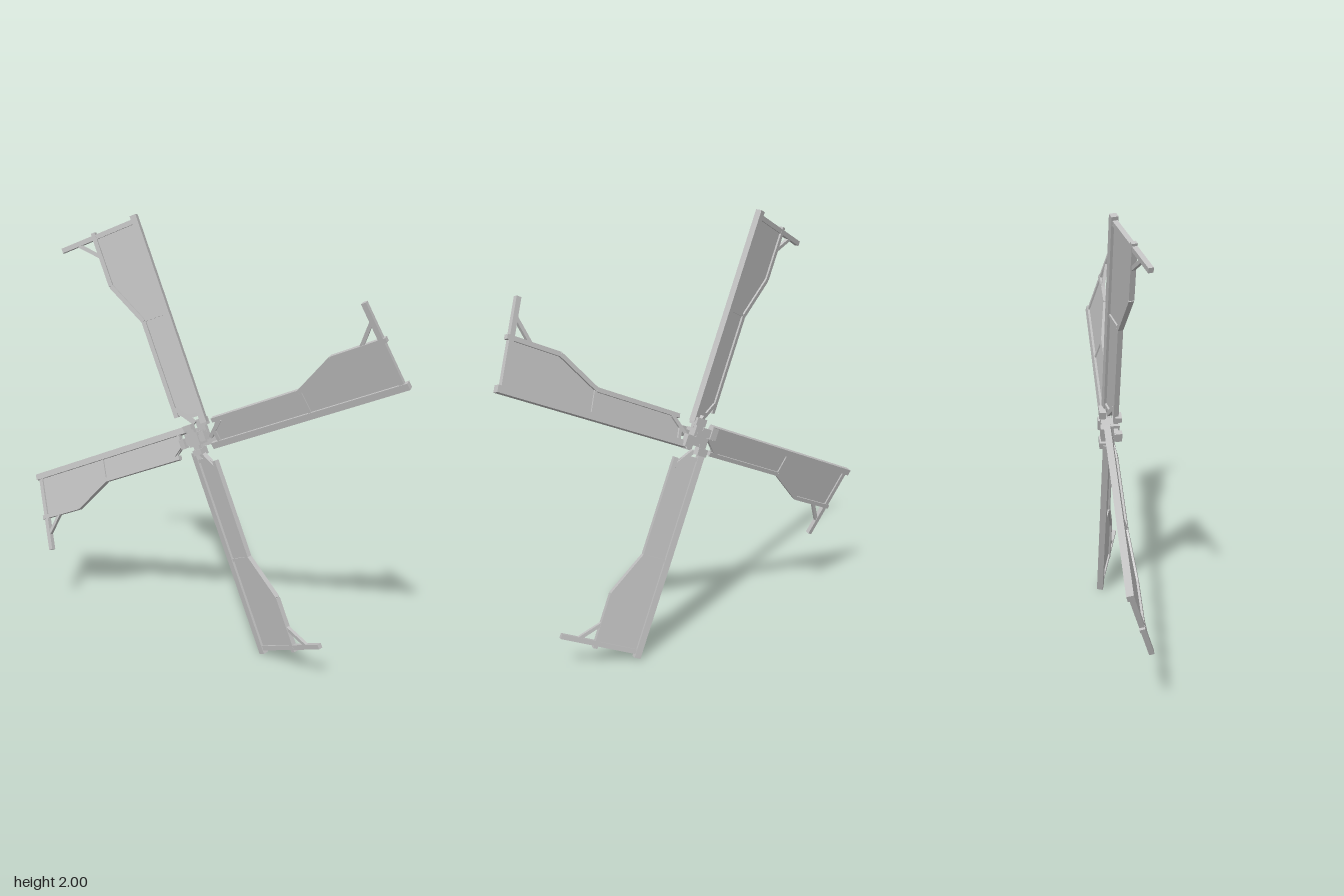
import * as THREE from 'three';

const grey = new THREE.MeshStandardMaterial({ color: 0xc0c0c0 });
grey.name = 'pale grey';

const PITCH = 0.275; // tilt of each sail about its own length
const SPREAD = 1 / Math.cos(PITCH);

function box(name, w, h, d, x, y, z, turn = 0) {
  const mesh = new THREE.Mesh(new THREE.BoxGeometry(w, h, d), grey);
  mesh.name = name;
  mesh.position.set(x, y, z);
  mesh.rotation.z = turn;
  return mesh;
}

// Straight beam between two points of the sail plane
function beam(name, a, b, width, depth, z = 0) {
  const dx = b[0] - a[0], dy = (b[1] - a[1]) * SPREAD;
  return box(name, Math.hypot(dx, dy), width, depth,
    (a[0] + b[0]) / 2, (a[1] + b[1]) / 2 * SPREAD, z, Math.atan2(dy, dx));
}

// Thin flat plate cut to an outline of the sail plane
function plate(name, points, thick) {
  const shape = new THREE.Shape(points.map(([x, y]) => new THREE.Vector2(x, y * SPREAD)));
  const geo = new THREE.ExtrudeGeometry(shape, { depth: thick, bevelEnabled: false });
  geo.translate(0, 0, -thick / 2);
  const mesh = new THREE.Mesh(geo, grey);
  mesh.name = name;
  return mesh;
}

// One sail, pointing along +x, with its wide side towards +y
function createSail() {
  const sail = new THREE.Group();
  sail.name = 'sail';
  const edge = [[0.12, 0.062], [0.588, 0.062], [0.793, 0.154], [1.05, 0.154]];

  // Covering panel
  sail.add(plate('panel', [[0.1, -0.05], [1.03, -0.05], [1.03, 0.154],
    edge[2], edge[1], [0.14, 0.062], [0.1, 0.02]], 0.006));

  // Frame
  sail.add(beam('mainSpar', [0.06, -0.051], [1.055, -0.051], 0.03, 0.03));
  for (let i = 0; i < 3; i++) {
    sail.add(beam('edgeRail', edge[i], edge[i + 1], 0.02, 0.024));
  }
  sail.add(beam('crossBar', [0.592, -0.05], [0.592, 0.06], 0.014, 0.02));
  sail.add(beam('endBar', [1.028, -0.06], [1.028, 0.32], 0.022, 0.022));
  sail.add(beam('tipStrut', [0.935, 0.156], [1.024, 0.24], 0.016, 0.016));

  // Bracing at the root
  sail.add(beam('rootBrace', [0.07, -0.01], [0.16, 0.055], 0.018, 0.024));
  sail.add(beam('rootBar', [0.105, -0.05], [0.105, 0.02], 0.016, 0.024));

  sail.rotation.x = PITCH;
  sail.position.z = -0.022;
  return sail;
}

// Hub of crossed bars with clamps on its arms
function createHub() {
  const hub = new THREE.Group();
  hub.name = 'hub';
  hub.add(box('hubCore', 0.06, 0.06, 0.085, 0, 0, -0.02));
  for (let i = 0; i < 4; i++) {
    const arm = new THREE.Group();
    arm.name = 'hubArm';
    arm.rotation.z = i * Math.PI / 2;
    arm.add(box('backArm', 0.085, 0.04, 0.02, 0.04, -0.025, -0.052));
    arm.add(box('backClamp', 0.035, 0.055, 0.03, 0.065, -0.03, -0.054));
    arm.add(box('frontArm', 0.065, 0.03, 0.02, 0.04, 0, 0.005));
    arm.add(box('frontClamp', 0.025, 0.045, 0.03, 0.06, 0.005, 0.016));
    hub.add(arm);
  }
  return hub;
}

export function createModel() {
  const model = new THREE.Group();
  model.name = 'windmillSails';
  const rotor = new THREE.Group();
  rotor.name = 'rotor';
  rotor.add(createHub());
  for (let i = 0; i < 4; i++) {
    const holder = new THREE.Group();
    holder.name = 'sailHolder';
    holder.rotation.z = i * Math.PI / 2;
    holder.add(createSail());
    rotor.add(holder);
  }
  rotor.rotation.z = Math.PI / 8;
  rotor.position.y = 1;
  model.add(rotor);
  return model;
}
